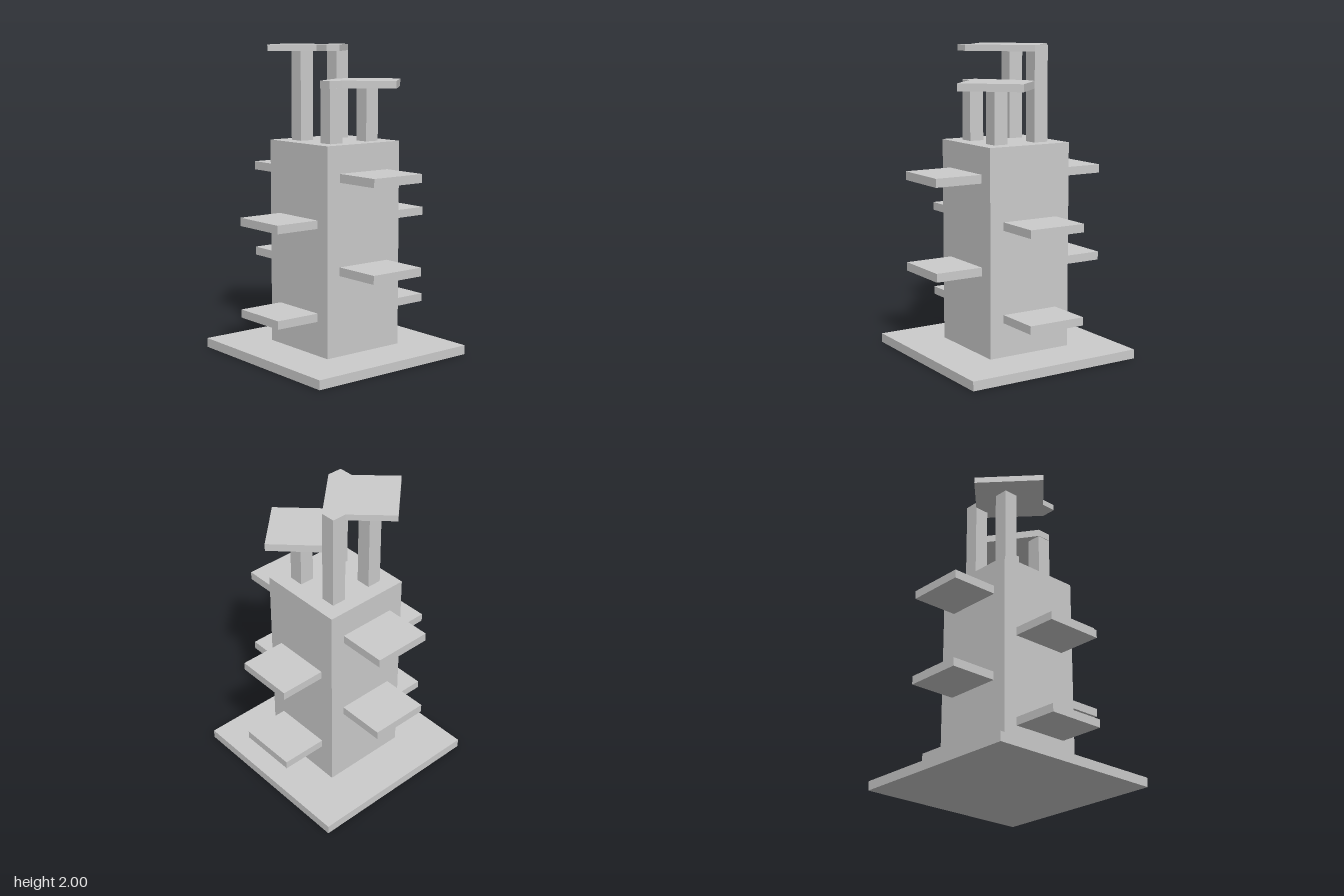
import * as THREE from 'three';

const material = new THREE.MeshStandardMaterial({ color: 0xcccccc, flatShading: true });

// Box given by its lower and upper corners
function addBox(group, name, [x0, y0, z0], [x1, y1, z1]) {
  const mesh = new THREE.Mesh(new THREE.BoxGeometry(x1 - x0, y1 - y0, z1 - z0), material);
  mesh.position.set((x0 + x1) / 2, (y0 + y1) / 2, (z0 + z1) / 2);
  mesh.name = name;
  group.add(mesh);
}

// Flat board from an [x, z] outline, between two heights
function addBoard(group, name, outline, bottom, top) {
  const shape = new THREE.Shape(outline.map(([x, z]) => new THREE.Vector2(x, -z)));
  const geometry = new THREE.ExtrudeGeometry(shape, { depth: top - bottom, bevelEnabled: false });
  geometry.rotateX(-Math.PI / 2);
  const mesh = new THREE.Mesh(geometry, material);
  mesh.position.y = bottom;
  mesh.name = name;
  group.add(mesh);
}

export function createModel() {
  const group = new THREE.Group();
  group.name = 'shelfTower';

  // Base slab and tower
  addBox(group, 'base', [-0.603, 0, -0.605], [0.6, 0.06, 0.6]);
  addBox(group, 'tower', [-0.295, 0.06, -0.295], [0.292, 1.39, 0.29]);

  // Shelves on the front and back
  for (const y of [0.575, 1.16]) {
    addBox(group, 'frontShelf', [-0.197, y, 0.29], [0.192, y + 0.055, 0.612]);
    addBox(group, 'backShelf', [-0.197, y, -0.612], [0.192, y + 0.055, -0.295]);
  }

  // Shelves on the two sides, set between the others
  for (const y of [0.28, 0.87]) {
    addBox(group, 'leftShelf', [0.292, y, -0.198], [0.597, y + 0.053, 0.193]);
    addBox(group, 'rightShelf', [-0.603, y, -0.198], [-0.295, y + 0.053, 0.193]);
  }

  // Four posts, short in front and tall behind
  for (const x of [-0.197, 0.095]) {
    addBox(group, 'frontPost', [x, 1.39, 0.1], [x + 0.097, 1.73, 0.197]);
    addBox(group, 'backPost', [x, 1.39, -0.198], [x + 0.097, 1.96, -0.1]);
  }

  // Diagonal boards with square ends over the posts
  addBoard(group, 'lowerPerch', [
    [0.14, 0.43], [0.434, 0.14], [0.192, -0.1], [0.095, -0.1],
    [-0.2, 0.1], [-0.2, 0.195], [-0.1, 0.195],
  ], 1.73, 1.778);
  addBoard(group, 'upperPerch', [
    [-0.125, -0.41], [-0.455, -0.1], [-0.235, 0.11], [-0.235, 0.21],
    [-0.135, 0.21], [0.192, -0.1], [0.192, -0.198], [0.097, -0.198],
  ], 1.96, 2);

  return group;
}
